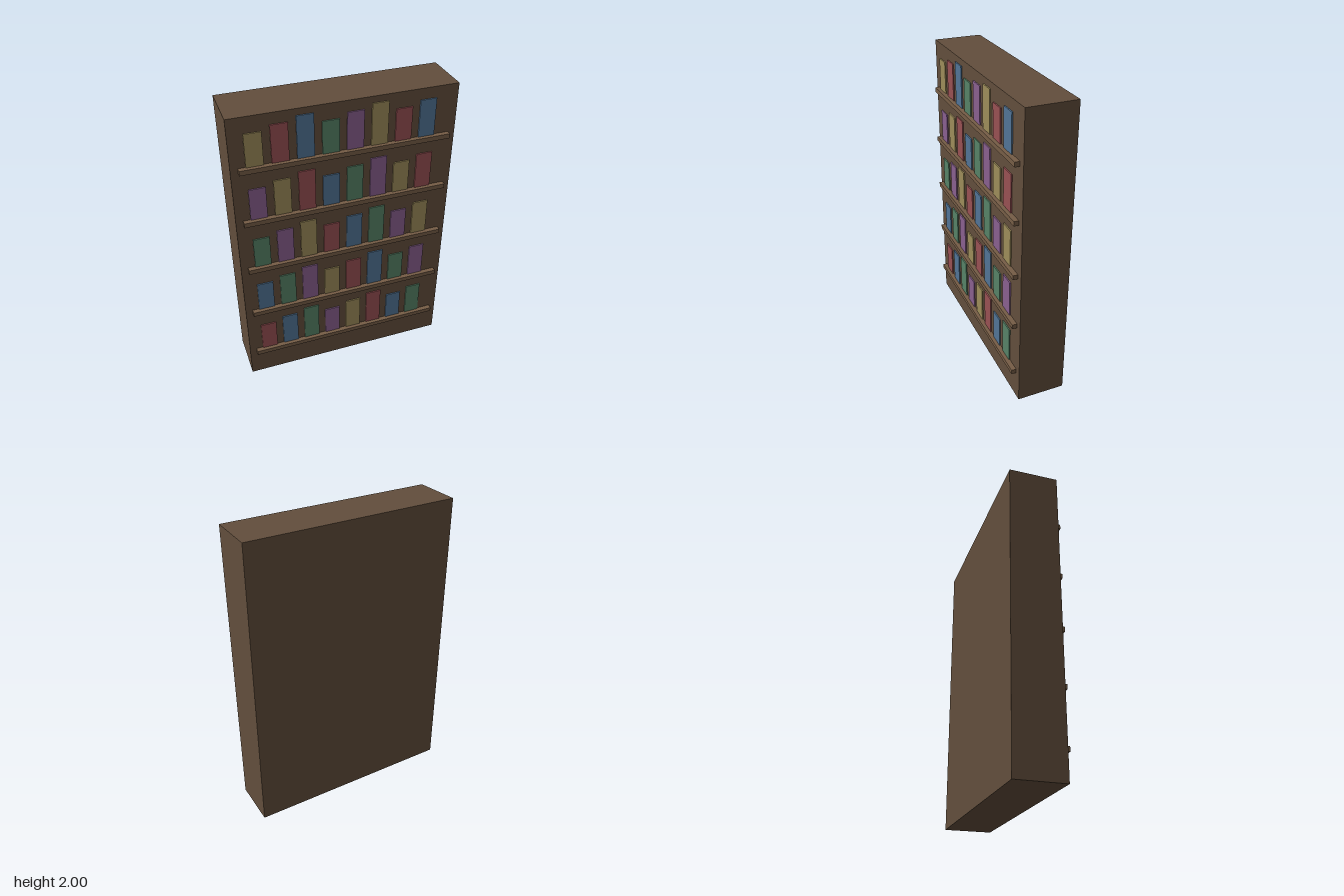
import * as THREE from 'three';

export function createModel() {
  const model = new THREE.Group();
  const paint = (color) => new THREE.MeshStandardMaterial({ color });
  const caseWood = paint(0x624e3c);
  const shelfWood = paint(0x765d46);
  // red, blue, green, purple, yellow
  const covers = [0x985053, 0x517496, 0x568267, 0x89608f, 0x9d8c5a].map(paint);

  // Box placed by its centre x, bottom y and front z
  function box(name, w, h, d, x, bottom, front, material, parent) {
    const mesh = new THREE.Mesh(new THREE.BoxGeometry(w, h, d), material);
    mesh.name = name;
    mesh.position.set(x, bottom + h / 2, front - d / 2);
    parent.add(mesh);
  }

  // Solid case
  const caseFront = 0.144;
  box('bookcaseBody', 1.41, 2, 0.32, 0, 0, caseFront, caseWood, model);

  // Five shelf ledges, each with a row of eight book spines
  const bookHeights = [0.213, 0.244, 0.274];
  const ledge = 0.031;
  for (let r = 0; r < 5; r++) {
    const row = new THREE.Group();
    row.name = `shelfRow${r + 1}`;
    const y = 0.191 + r * 0.3655;
    box('shelf', 1.32, ledge, 0.06, 0, y, 0.176, shelfWood, row);
    for (let c = 0; c < 8; c++) {
      box('book', 0.105, bookHeights[c % 3], 0.04, -0.561 + c * 0.153, y + ledge,
        0.152, covers[(r + c) % 5], row);
    }
    model.add(row);
  }
  return model;
}
